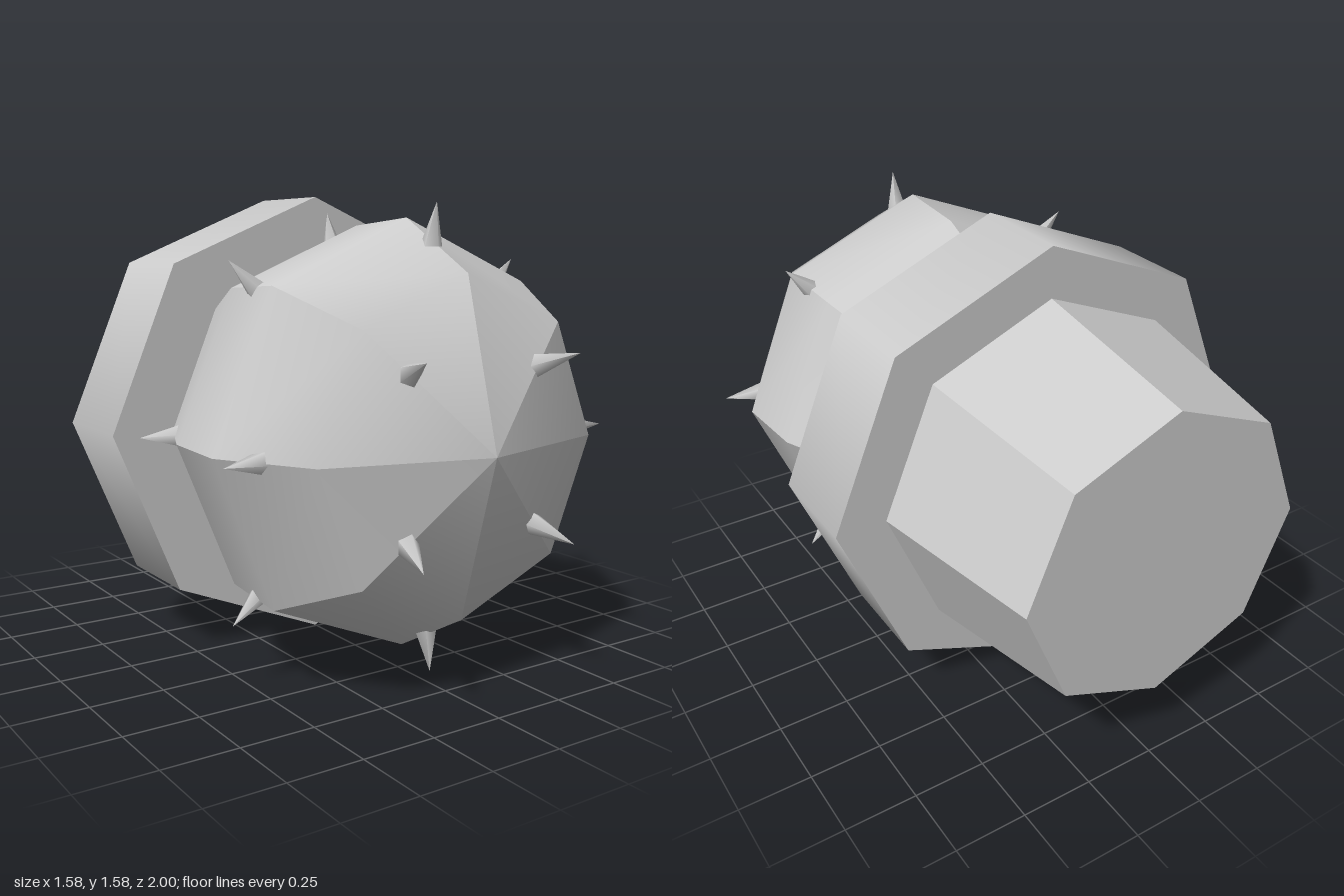
import * as THREE from 'three';
import { mergeGeometries } from 'three/addons/utils/BufferGeometryUtils.js';

const CY = 0.79; // height of the long axis
const SIDES = 8;

export function createModel() {
  const model = new THREE.Group();
  const axis = new THREE.Group();
  axis.name = 'spikedBulbAssembly';
  axis.position.y = CY;
  model.add(axis);

  const smooth = new THREE.MeshStandardMaterial({ color: 0xcccccc });
  const flat = new THREE.MeshStandardMaterial({ color: 0xcccccc, flatShading: true });
  const add = (name, geometry, material) => {
    const mesh = new THREE.Mesh(geometry, material);
    mesh.name = name;
    axis.add(mesh);
    return mesh;
  };

  // Eight-sided frustum along z with corners straight up and sideways
  const frustum = (zBack, rBack, zFront, rFront) =>
    new THREE.CylinderGeometry(rFront, rBack, zFront - zBack, SIDES)
      .rotateX(Math.PI / 2)
      .translate(0, 0, (zBack + zFront) / 2);

  add('rearTaper', frustum(-1, 0.51, -0.36, 0.617), flat);
  add('collar', frustum(-0.37, 0.79, -0.01, 0.79), smooth);

  // Bulb: eight gores, smooth along the length and sharp where they meet
  const profile = [[0.56, -0.04], [0.685, 0.245], [0.705, 0.52], [0.535, 0.82], [0, 0.965]];
  const gores = [];
  for (let i = 0; i < SIDES; i++) {
    const a0 = (i * Math.PI * 2) / SIDES, a1 = ((i + 1) * Math.PI * 2) / SIDES;
    const pos = [], index = [];
    profile.forEach(([r, z], j) => {
      for (const a of [a0, a1]) pos.push(r * Math.cos(a), r * Math.sin(a), z);
      if (j === profile.length - 1) return;
      const k = j * 2;
      index.push(k, k + 1, k + 2);
      if (profile[j + 1][0] > 0) index.push(k + 1, k + 3, k + 2);
      else pos.length = pos.length;
    });
    // The tip needs only one corner
    pos.length -= 3;
    const g = new THREE.BufferGeometry();
    g.setAttribute('position', new THREE.Float32BufferAttribute(pos, 3));
    g.setIndex(index);
    g.computeVertexNormals();
    gores.push(g);
  }
  add('bulb', mergeGeometries(gores), smooth);

  // Spikes: [first angle, base radius, base z, tip radius, tip z], four around each ring
  const up = new THREE.Vector3(0, 1, 0);
  const rings = [
    ['rearSpike', 0, 0.595, 0.105, 0.73, 0.068],
    ['middleSpike', Math.PI / 4, 0.655, 0.4, 0.81, 0.39],
    ['foreSpike', 0, 0.6, 0.643, 0.75, 0.67],
    ['noseSpike', Math.PI / 4, 0.35, 0.855, 0.42, 1.0],
  ];
  for (const [name, start, r0, z0, r1, z1] of rings) {
    for (let i = 0; i < 4; i++) {
      const a = start + (i * Math.PI) / 2;
      const base = new THREE.Vector3(r0 * Math.cos(a), r0 * Math.sin(a), z0);
      const tip = new THREE.Vector3(r1 * Math.cos(a), r1 * Math.sin(a), z1);
      const dir = tip.clone().sub(base);
      const length = dir.length();
      const spike = add(name, new THREE.ConeGeometry(0.04, length, 5).translate(0, length / 2, 0), smooth);
      spike.position.copy(base);
      spike.quaternion.setFromUnitVectors(up, dir.normalize());
    }
  }
  return model;
}
